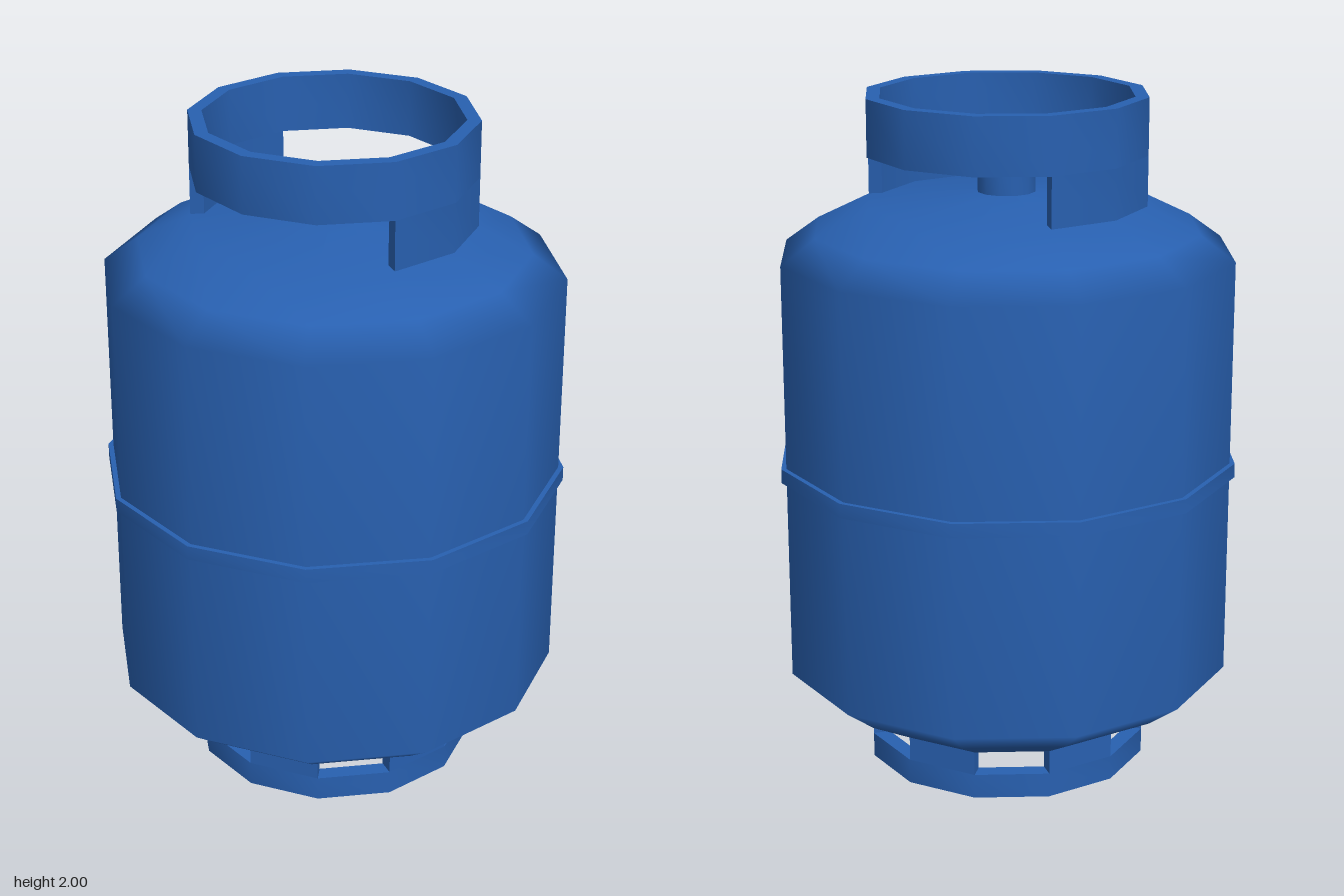
import * as THREE from 'three';
import { toCreasedNormals } from 'three/addons/utils/BufferGeometryUtils.js';

const SIDES = 12;
const STEP = (Math.PI * 2) / SIDES;

export function createModel() {
  const group = new THREE.Group();
  const paint = new THREE.MeshStandardMaterial({ color: 0x2860b0 });

  const add = (name, geometry) => {
    const mesh = new THREE.Mesh(geometry, paint);
    mesh.name = name;
    group.add(mesh);
  };

  // Points on a twelve-sided circle, from corner "first" over "count" sides
  const arc = (r, first, count) =>
    Array.from({ length: count + 1 }, (_, i) => {
      const a = (first + i) * STEP;
      return new THREE.Vector2(Math.cos(a) * r, Math.sin(a) * r);
    });

  // Raise a flat outline from y0 to y1, keeping the rims sharp
  const raise = (shape, y0, y1) => {
    const geo = new THREE.ExtrudeGeometry(shape, { depth: y1 - y0, bevelEnabled: false });
    geo.rotateX(-Math.PI / 2);
    geo.translate(0, y0, 0);
    return toCreasedNormals(geo, 0.7);
  };

  const ring = (outer, inner, y0, y1) => {
    const shape = new THREE.Shape(arc(outer, 0, SIDES - 1));
    shape.holes.push(new THREE.Path(arc(inner, 0, SIDES - 1).reverse()));
    return raise(shape, y0, y1);
  };

  const sector = (outer, inner, first, count, y0, y1) =>
    raise(new THREE.Shape([...arc(outer, first, count), ...arc(inner, first, count).reverse()]), y0, y1);

  // Tank with sloped shoulders and a shallow domed top
  const profile = [
    [0, 0.13], [0.42, 0.145], [0.565, 0.225], [0.665, 0.3],
    [0.665, 1.54], [0.565, 1.613], [0.41, 1.69], [0, 1.725],
  ].map(([r, y]) => new THREE.Vector2(r, y));
  add('tank', new THREE.LatheGeometry(profile, SIDES));

  // Weld band around the middle
  add('weldBand', ring(0.68, 0.65, 0.9, 0.942));

  // Valve: a short socket with a recessed centre
  add('valveSocket', ring(0.085, 0.055, 1.7, 1.807));
  const core = new THREE.CylinderGeometry(0.056, 0.056, 0.06, SIDES);
  core.translate(0, 1.735, 0);
  add('valveCore', toCreasedNormals(core, 0.7));

  // Carrying collar on two side supports
  add('collarRing', ring(0.41, 0.37, 1.835, 2));
  add('collarSupportLeft', sector(0.41, 0.37, -1, 2, 1.685, 1.835));
  add('collarSupportRight', sector(0.41, 0.37, 5, 2, 1.685, 1.835));

  // Foot ring with a post on every other side
  add('footRing', ring(0.42, 0.37, 0, 0.073));
  for (let i = 0; i < SIDES / 2; i++) {
    add(`footPost${i + 1}`, sector(0.42, 0.37, 1 + i * 2, 1, 0.073, 0.147));
  }

  return group;
}
